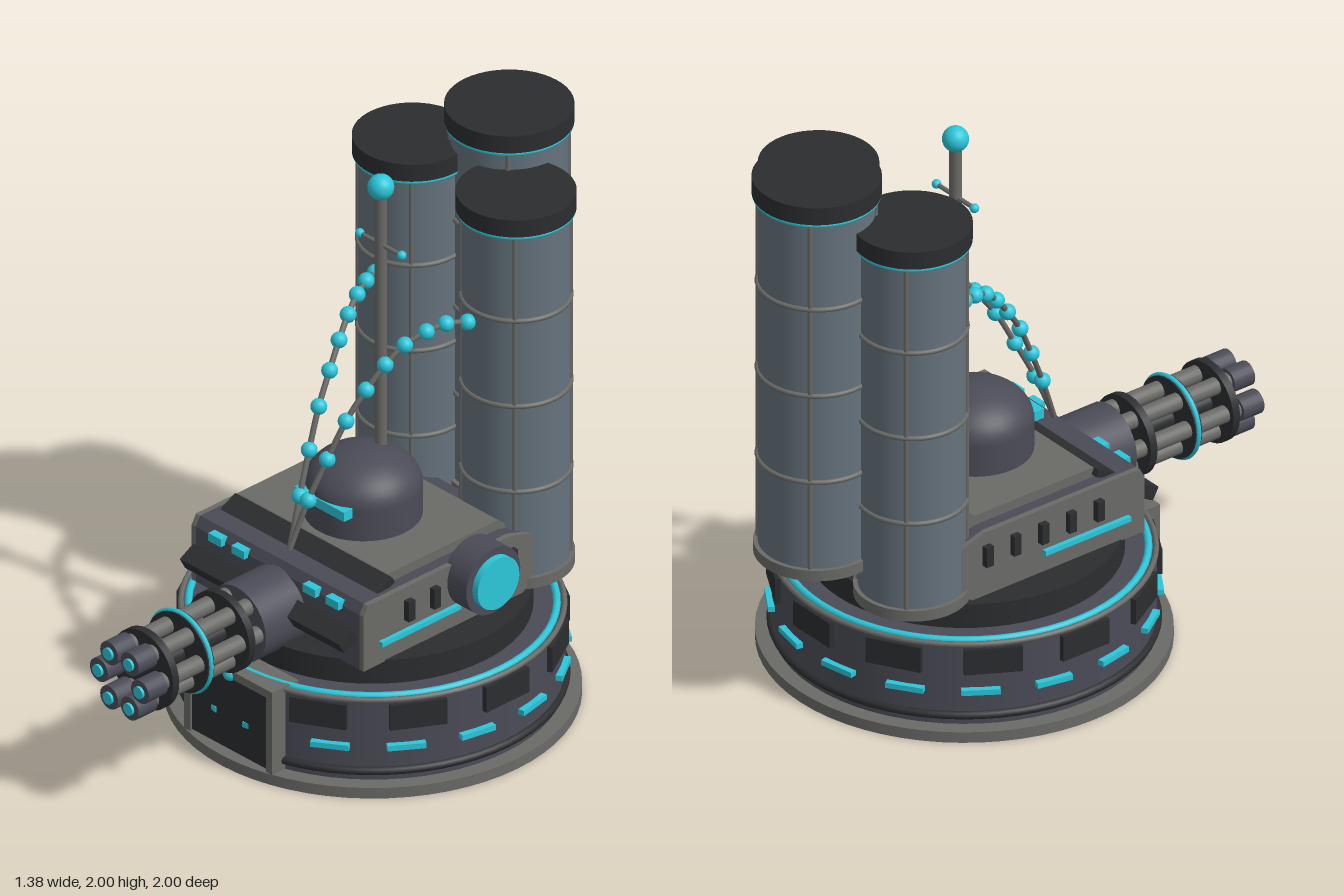
import * as THREE from 'three';

const mat = (color) => new THREE.MeshStandardMaterial({ color });

export function createModel() {
  const model = new THREE.Group();
  const slate = mat(0x4b4b57), dark = mat(0x2b2d2f), grey = mat(0x6a6a67);
  const steel = mat(0x65727c), cyan = mat(0x2cc6da);
  const CZ = -0.163; // centre of the round base

  function group(name, parent = model) {
    const g = new THREE.Group();
    g.name = name;
    parent.add(g);
    return g;
  }
  function add(parent, name, geometry, material, x = 0, y = 0, z = 0) {
    const m = new THREE.Mesh(geometry, material);
    m.name = name;
    m.position.set(x, y, z);
    parent.add(m);
    return m;
  }
  const box = (p, name, m, w, h, d, x, y, z) => add(p, name, new THREE.BoxGeometry(w, h, d), m, x, y, z);
  const ball = (p, name, m, r, x, y, z) => add(p, name, new THREE.SphereGeometry(r, 20, 14), m, x, y, z);
  // upright cylinder between two heights
  const drum = (p, name, m, r, y0, y1, x = 0, z = 0, seg = 48) =>
    add(p, name, new THREE.CylinderGeometry(r, r, y1 - y0, seg), m, x, (y0 + y1) / 2, z);
  // cylinder along z between two depths
  const drumZ = (p, name, m, r, z0, z1, x = 0, y = 0, seg = 32) => {
    const d = add(p, name, new THREE.CylinderGeometry(r, r, z1 - z0, seg), m, x, y, (z0 + z1) / 2);
    d.rotation.x = Math.PI / 2;
    return d;
  };
  // horizontal hoop
  const hoop = (p, name, m, r, tube, y, x = 0, z = 0) => {
    const t = add(p, name, new THREE.TorusGeometry(r, tube, 8, 64), m, x, y, z);
    t.rotation.x = Math.PI / 2;
    return t;
  };

  // Round base with panels, lights and a gate
  const base = group('base');
  base.position.z = CZ;
  drum(base, 'footPlate', grey, 0.69, 0, 0.04, 0, 0, 64);
  drum(base, 'wall', slate, 0.635, 0.04, 0.345, 0, 0, 64);
  hoop(base, 'lowerBand', dark, 0.637, 0.015, 0.075);
  hoop(base, 'upperBand', grey, 0.632, 0.01, 0.343);
  hoop(base, 'lightRing', cyan, 0.607, 0.013, 0.345);
  drum(base, 'turntable', dark, 0.53, 0.34, 0.435, 0, 0, 64);
  const around = (count, offset, r, build) => {
    for (let i = 0; i < count; i++) {
      const a = (i + offset) / count * Math.PI * 2;
      const m = build();
      m.position.x = r * Math.sin(a);
      m.position.z = r * Math.cos(a);
      m.rotation.y = a;
    }
  };
  around(12, 0, 0.625, () => box(base, 'wallPanel', dark, 0.195, 0.095, 0.04, 0, 0.283, 0));
  around(16, 0.5, 0.64, () => box(base, 'wallLight', cyan, 0.13, 0.02, 0.03, 0, 0.17, 0));

  const gate = group('gate');
  box(gate, 'door', dark, 0.37, 0.29, 0.1, 0, 0.19, 0.437);
  for (const s of [-1, 1]) box(gate, 'doorPost', grey, 0.03, 0.31, 0.12, s * 0.195, 0.195, 0.435);
  box(gate, 'doorLintel', grey, 0.42, 0.03, 0.12, 0, 0.34, 0.435);
  ball(gate, 'gateLamp', cyan, 0.025, 0, 0.335, 0.485);

  // Turret body: side profile extruded across x
  const turret = group('turret');
  const profile = (pts, width) => {
    const shape = new THREE.Shape(pts.map(([z, y]) => new THREE.Vector2(-z, y)));
    const g = new THREE.ExtrudeGeometry(shape, { depth: width, bevelEnabled: false });
    g.translate(0, 0, -width / 2);
    g.rotateY(Math.PI / 2);
    return g;
  };
  const side = [[0.27, 0.43], [0.27, 0.64], [0.25, 0.675], [-0.4, 0.675], [-0.53, 0.635], [-0.53, 0.49], [-0.45, 0.43]];
  add(turret, 'hull', profile(side, 0.78), slate);
  for (const s of [-1, 1]) {
    add(turret, 'sidePlate', profile(side, 0.02), grey, s * 0.4);
    for (let i = 0; i < 5; i++) box(turret, 'sideVent', dark, 0.04, 0.075, 0.03, s * 0.412, 0.59, 0.07 - i * 0.117);
    box(turret, 'sideLight', cyan, 0.03, 0.018, 0.36, s * 0.412, 0.51, 0.02);
    for (const x of [0.17, 0.28]) box(turret, 'browLight', cyan, 0.06, 0.03, 0.03, s * x, 0.645, 0.275);
  }
  const deck = [[0.16, 0.67], [0.1, 0.71], [-0.4, 0.71], [-0.46, 0.66]];
  add(turret, 'deck', profile(deck, 0.7), grey);
  const visor = box(turret, 'visor', dark, 0.76, 0.05, 0.07, 0, 0.55, 0.31);
  visor.rotation.x = 0.5;
  const lip = box(turret, 'deckLip', dark, 0.75, 0.025, 0.08, 0, 0.68, 0.135);
  lip.rotation.x = 0.45;

  // Dome: straight skirt with a flattened cap
  const domePoints = [new THREE.Vector2(0.197, 0.7)];
  for (let i = 0; i <= 12; i++) {
    const a = i / 12 * Math.PI / 2;
    domePoints.push(new THREE.Vector2(0.197 * Math.cos(a), 0.82 + 0.13 * Math.sin(a)));
  }
  add(turret, 'dome', new THREE.LatheGeometry(domePoints, 48), slate, 0, 0, -0.12);
  box(turret, 'domeWindow', cyan, 0.235, 0.035, 0.04, 0, 0.817, 0.06);

  // Round side lamp on the left
  const lamp = group('sideLamp', turret);
  for (const [name, m, r, x0, x1] of [['lampHousing', slate, 0.123, 0.39, 0.5], ['lampLens', cyan, 0.095, 0.49, 0.525]]) {
    const d = add(lamp, name, new THREE.CylinderGeometry(r, r, x1 - x0, 40), m, (x0 + x1) / 2, 0.61, -0.235);
    d.rotation.z = Math.PI / 2;
  }

  // Six-barrelled gun
  const gun = group('gun');
  gun.position.y = 0.515;
  drumZ(gun, 'gunHousing', slate, 0.138, 0.24, 0.455);
  drumZ(gun, 'shaft', dark, 0.035, 0.45, 0.87);
  for (const z of [0.522, 0.71, 0.87]) drumZ(gun, 'clampDisc', dark, 0.145, z - 0.014, z + 0.014);
  add(gun, 'clampLight', new THREE.TorusGeometry(0.144, 0.009, 8, 48), cyan, 0, 0, 0.71);
  for (let i = 0; i < 6; i++) {
    const a = i * Math.PI / 3, x = 0.098 * Math.cos(a), y = 0.098 * Math.sin(a);
    drumZ(gun, 'barrel', grey, 0.03, 0.45, 0.92, x, y, 20);
    drumZ(gun, 'muzzle', slate, 0.043, 0.905, 0.99, x, y, 20);
    drumZ(gun, 'muzzleLight', cyan, 0.022, 0.98, 1.0, x, y, 16);
  }

  // Tall storage columns
  function column(name, x, z, r, y0, y1) {
    const c = group(name);
    c.position.set(x, 0, z);
    drum(c, 'columnFoot', grey, r + 0.015, y0 - 0.04, y0);
    drum(c, 'columnTank', steel, r, y0, y1);
    drum(c, 'columnCap', dark, r + 0.02, y1 + 0.005, y1 + 0.07);
    hoop(c, 'capLight', cyan, r + 0.008, 0.011, y1);
    for (let i = 1; i < 4; i++) hoop(c, 'columnHoop', grey, r + 0.001, 0.009, y0 + (y1 - y0) * i / 4);
    for (let i = 0; i < 4; i++) {
      const a = Math.PI / 4 + i * Math.PI / 2;
      drum(c, 'columnRib', grey, 0.008, y0, y1, r * Math.cos(a), r * Math.sin(a), 8);
    }
  }
  column('leftColumn', 0.247, -0.58, 0.18, 0.48, 1.79);
  column('rightColumn', -0.247, -0.58, 0.18, 0.48, 1.79);
  column('backColumn', 0, -0.785, 0.195, 0.605, 1.93);

  // Antenna mast
  const mast = group('antenna');
  drum(mast, 'mast', grey, 0.021, 0.85, 1.9, 0, -0.2, 16);
  ball(mast, 'mastTip', cyan, 0.045, 0, 1.92, -0.2);
  const bar = add(mast, 'crossbar', new THREE.CylinderGeometry(0.008, 0.008, 0.2, 10), grey, 0, 1.7, -0.2);
  bar.rotation.z = Math.PI / 2;
  for (const s of [-1, 1]) ball(mast, 'crossbarTip', cyan, 0.016, s * 0.1, 1.7, -0.2);

  // Beaded cables from the front of the deck to the columns
  const beads = [[0.02, 0.87, 0.15], [0.043, 1.01, 0.085], [0.065, 1.14, 0.02], [0.087, 1.24, -0.05],
    [0.11, 1.32, -0.115], [0.135, 1.38, -0.18], [0.165, 1.415, -0.25], [0.19, 1.43, -0.315], [0.22, 1.42, -0.385]];
  for (const s of [-1, 1]) {
    const cable = group(s > 0 ? 'leftCable' : 'rightCable');
    const path = [[0, 0.7, 0.215], ...beads].map(([x, y, z]) => new THREE.Vector3(s * x, y, z));
    add(cable, 'cord', new THREE.TubeGeometry(new THREE.CatmullRomCurve3(path), 48, 0.01, 8), grey);
    for (const p of path.slice(1)) ball(cable, 'bead', cyan, 0.028, p.x, p.y, p.z);
  }
  return model;
}
